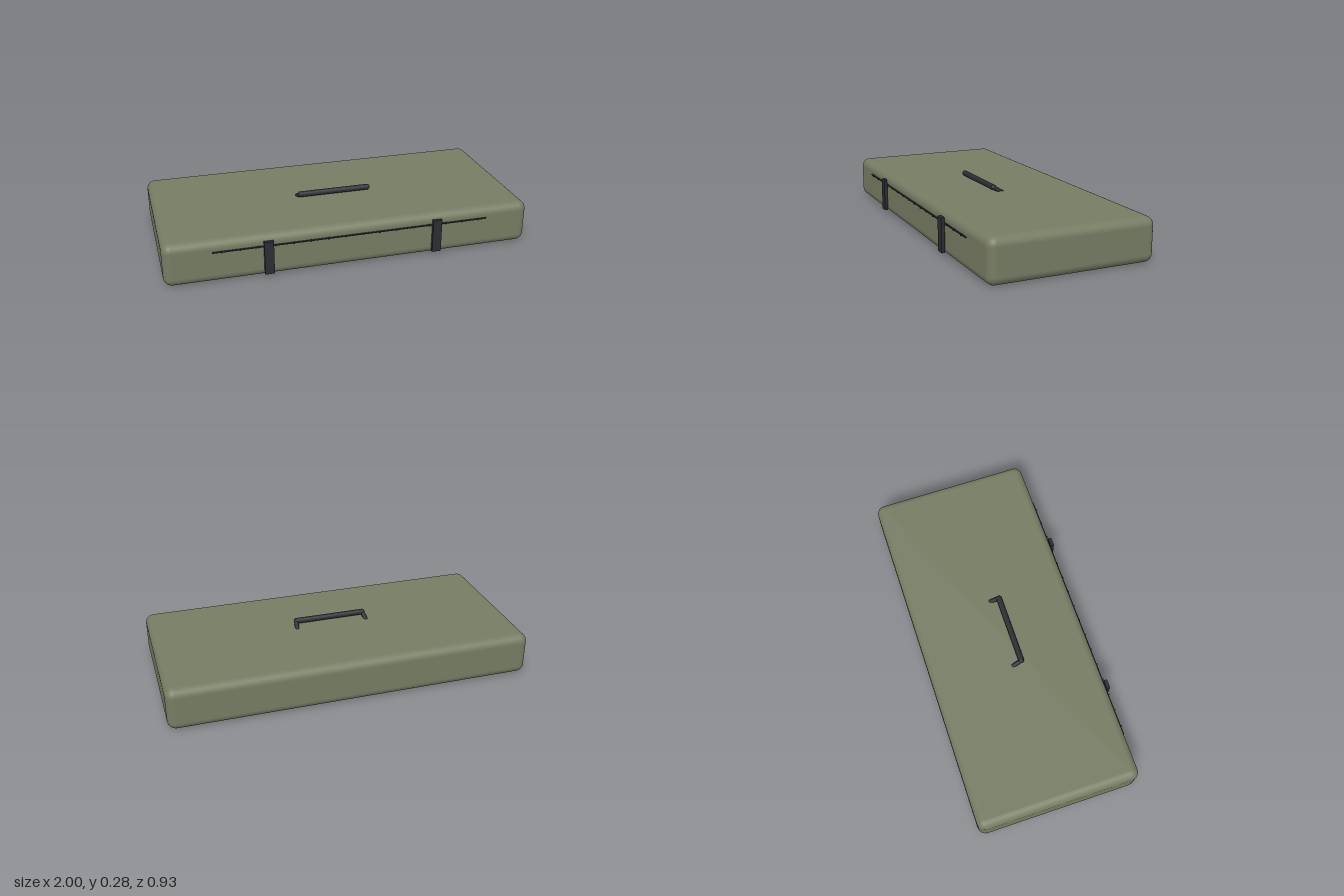
import * as THREE from 'three';
import { RoundedBoxGeometry } from 'three/addons/geometries/RoundedBoxGeometry.js';

export function createModel() {
  const model = new THREE.Group();
  const olive = new THREE.MeshStandardMaterial({ color: 0x767c63 });
  const dark = new THREE.MeshStandardMaterial({ color: 0x2b2d33 });

  const add = (name, geometry, material, x = 0, y = 0, z = 0, parent = model) => {
    const mesh = new THREE.Mesh(geometry, material);
    mesh.name = name;
    mesh.position.set(x, y, z);
    parent.add(mesh);
    return mesh;
  };

  // Flat padded case with rounded edges
  add('caseBody', new RoundedBoxGeometry(2, 0.237, 0.903, 4, 0.046), olive, 0, 0.1185, -0.0115);

  // Closing straps on the front
  for (const side of [-1, 1]) {
    add(side > 0 ? 'leftStrap' : 'rightStrap', new THREE.BoxGeometry(0.05, 0.185, 0.018), dark, side * 0.46, 0.1145, 0.454);
  }

  // Zip: a thin band with small evenly spaced teeth
  const zip = new THREE.Group();
  zip.name = 'zip';
  model.add(zip);
  add('zipBand', new THREE.BoxGeometry(1.5, 0.006, 0.008), dark, 0, 0.176, 0.443, zip);
  const toothGeometry = new THREE.BoxGeometry(0.006, 0.009, 0.012);
  for (let i = 0; i < 16; i++) {
    add('zipTooth', toothGeometry, dark, -0.7 + (i * 1.4) / 15, 0.176, 0.445, zip);
  }

  // Carrying handle: straight grip on two slanted legs sunk into the lid
  const handle = new THREE.Group();
  handle.name = 'handle';
  model.add(handle);
  const grip = add('grip', new THREE.CylinderGeometry(0.016, 0.016, 0.4, 16), dark, 0, 0.259, 0.043, handle);
  grip.rotation.z = Math.PI / 2;
  for (const side of [-1, 1]) {
    const leg = new THREE.LineCurve3(
      new THREE.Vector3(side * 0.196, 0.259, 0.043),
      new THREE.Vector3(side * 0.205, 0.22, -0.022)
    );
    add('handleLeg', new THREE.TubeGeometry(leg, 1, 0.012, 12), dark, 0, 0, 0, handle);
    add('handleCorner', new THREE.SphereGeometry(0.016, 16, 10), dark, side * 0.194, 0.259, 0.043, handle);
  }
  return model;
}
